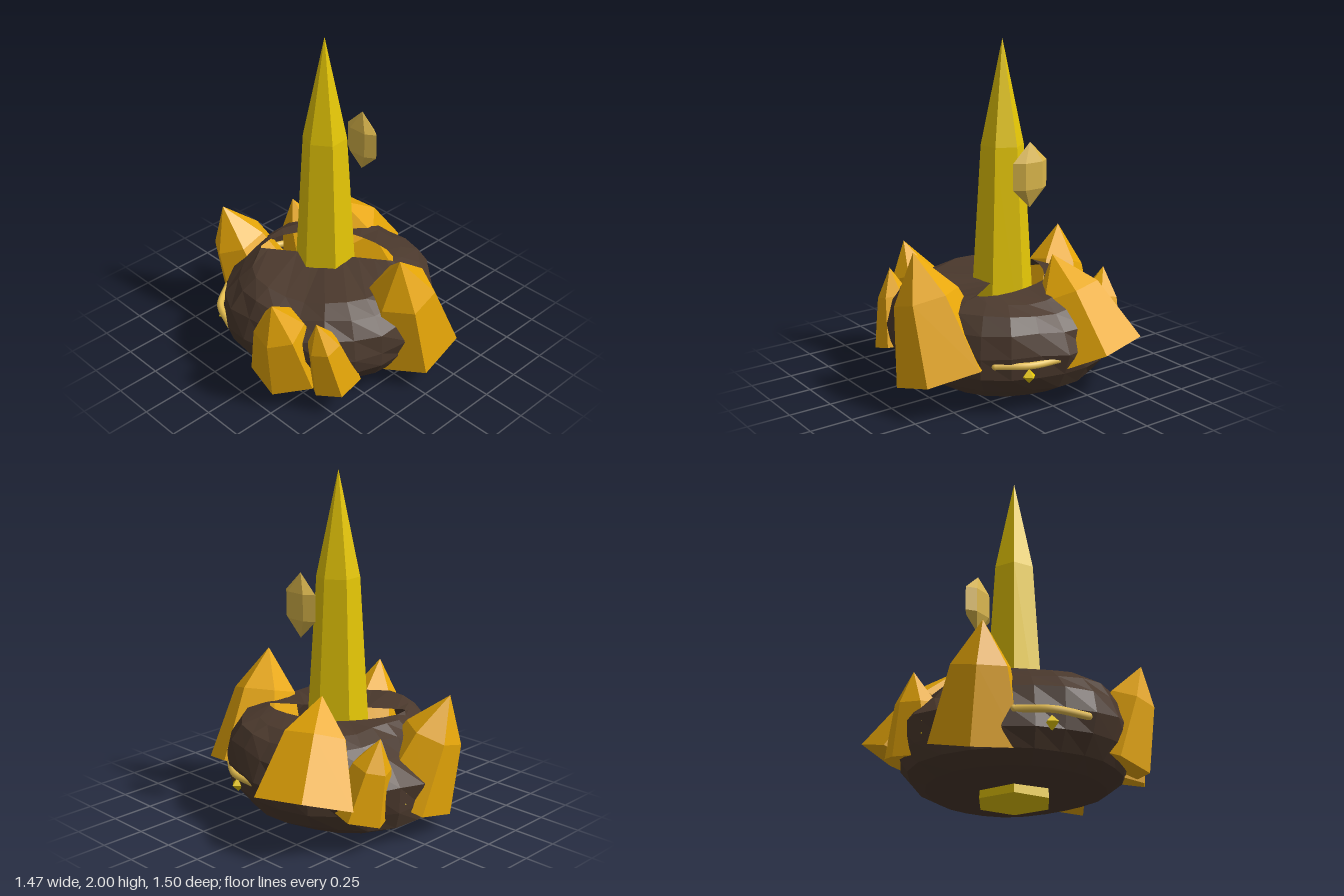
import * as THREE from 'three';

const mat = (name, color, extra = {}) => {
  const m = new THREE.MeshStandardMaterial({ color, flatShading: true, ...extra });
  m.name = name;
  return m;
};
const V = (x, y, z) => new THREE.Vector3(x, y, z);

export function createModel() {
  const group = new THREE.Group();
  const rockMat = mat('dark rock', 0x4b392d, { side: THREE.DoubleSide });
  const goldMat = mat('amber crystal', 0xeeac08);
  const yellowMat = mat('yellow crystal', 0xe6c706);
  const paleMat = mat('pale crystal', 0xd9b54a);
  const wormMat = mat('pale gold', 0xe8c050, { flatShading: false });

  const add = (name, geo, material) => {
    const m = new THREE.Mesh(geo, material);
    m.name = name;
    group.add(m);
    return m;
  };

  // Six-sided pointed prism from base centre to tip; (cx, cz) points at one corner
  function crystal(name, base, tip, r, cx, cz, material, mid = 0.63, midR = 0.62) {
    const axis = tip.clone().sub(base);
    const h = axis.length();
    const profile = [[0, 0], [r, 0], [r * midR, h * mid], [0, h]].map(p => new THREE.Vector2(...p));
    const geo = new THREE.LatheGeometry(profile, 6);
    geo.rotateY(Math.atan2(cx, cz));
    const m = add(name, geo, material);
    m.quaternion.setFromUnitVectors(V(0, 1, 0), axis.normalize());
    m.position.copy(base);
    return m;
  }

  // Lumpy hollow rock; the last ring is the edge of the opening in its top
  const rockProfile = [[0, 0.05], [0.28, 0.05], [0.46, 0.06], [0.55, 0.12], [0.62, 0.22], [0.645, 0.34],
    [0.62, 0.46], [0.55, 0.55], [0.45, 0.6], [1, 0.62]];
  const rings = rockProfile.length;
  const rock = new THREE.LatheGeometry(rockProfile.map(p => new THREE.Vector2(...p)), 24);
  const pos = rock.attributes.position;
  const bump = (a, deg, power) => Math.max(0, Math.cos(a - THREE.MathUtils.degToRad(deg))) ** power;
  for (let i = 0; i < pos.count; i++) {
    const x = pos.getX(i), y = pos.getY(i), z = pos.getZ(i);
    if (i % rings === rings - 1) {
      // Straight front edge through the spire, curved back edge
      const p = 0.81 * x - 0.588 * z, s = 0.588 * x + 0.81 * z;
      const u = 0.4 * Math.sign(p) * Math.abs(p) ** 1.6, v = s < 0 ? 0.27 * s : 0;
      pos.setXYZ(i, 0.81 * u + 0.588 * v - 0.025, y, -0.588 * u + 0.81 * v + 0.05);
      continue;
    }
    const a = Math.atan2(z, x);
    const n = Math.sin(x * 9 + y * 13 + 1) * Math.sin(z * 10 - y * 8 + 2);
    const low = y < 0.25;
    const left = y < 0.18 ? 0.17 : y < 0.4 ? 0.05 : -0.13;
    const k = 1 + 0.035 * n + 0.05 * bump(a, 38, 8) + left * bump(a, 182, 5)
      - (low ? 0 : 0.05) * bump(a, 145, 8);
    const tilt = low ? 0.03 * x + 0.015 * z : 0.014 * Math.sin(x * 11 - z * 9);
    pos.setXYZ(i, x * k - 0.025, y + tilt, z * k + 0.045);
  }
  add('rock', rock, rockMat);

  // Central spire
  crystal('spire', V(-0.04, 0, 0.04), V(-0.04, 2, 0.04), 0.212, 0.02, 0.19, yellowMat, 0.7, 0.59);

  // Crystals around the rock: base, tip, radius, corner direction
  [
    [V(-0.29, 0.24, -0.47), V(-0.19, 0.79, -0.24), 0.31, 0.1, -0.28],
    [V(-0.49, 0.18, 0.14), V(-0.66, 0.775, 0.3), 0.27, -0.23, 0.14],
    [V(0.46, 0.2, -0.14), V(0.56, 0.86, 0.05), 0.3, 0.27, -0.19],
    [V(0.165, 0.19, 0.515), V(0.23, 0.72, 0.7), 0.23, 0.07, 0.21],
    [V(0.43, 0.18, 0.42), V(0.42, 0.62, 0.55), 0.155, 0, 0.14],
    [V(-0.49, 0.2, -0.26), V(-0.6, 0.635, -0.21), 0.18, -0.07, -0.15],
  ].forEach(([b, t, r, cx, cz], i) => crystal('sideCrystal' + (i + 1), b, t, r, cx, cz, goldMat));

  // Flat floating gem behind the spire
  const gemProfile = [[0, -0.185], [1, -0.075], [1, 0.075], [0, 0.185]].map(p => new THREE.Vector2(...p));
  const gem = new THREE.LatheGeometry(gemProfile, 6);
  gem.rotateY(Math.PI / 2);
  gem.scale(0.115, 1, 0.046);
  gem.translate(-0.025, 1.275, -0.24);
  add('floatingGem', gem, paleMat);

  // Curved rods on the rock side, each with a small pendant
  [
    [V(-0.53, 0.305, 0.4), V(-0.41, 0.305, 0.555), V(-0.22, 0.305, 0.64)],
    [V(0.02, 0.305, -0.57), V(0.2, 0.305, -0.55), V(0.36, 0.305, -0.445)],
    [V(-0.58, 0.305, 0.08), V(-0.655, 0.305, -0.08), V(-0.58, 0.305, -0.24)],
  ].forEach((pts, i) => {
    const curve = new THREE.CatmullRomCurve3(pts);
    add('rod' + (i + 1), new THREE.TubeGeometry(curve, 16, 0.021, 8), wormMat);
    for (const p of [pts[0], pts[2]]) {
      const end = new THREE.SphereGeometry(0.021, 8, 6);
      end.translate(p.x, p.y, p.z);
      add('rodEnd', end, wormMat);
    }
    const pendant = new THREE.OctahedronGeometry(0.042);
    pendant.translate(pts[1].x * 0.97, 0.24, pts[1].z * 0.97);
    add('pendant' + (i + 1), pendant, yellowMat);
  });

  return group;
}
